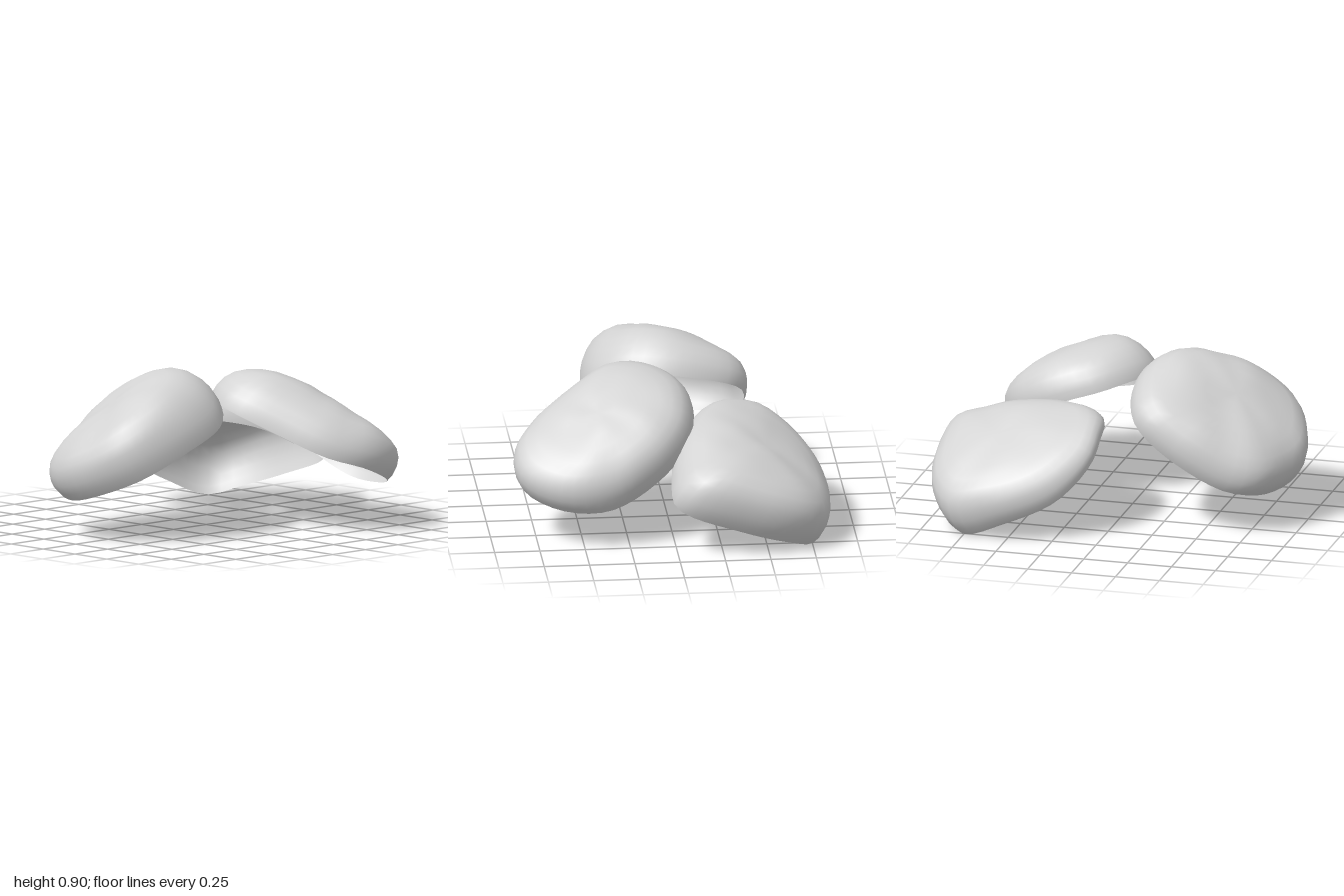
import * as THREE from 'three';

// Dome profile from the open rim to the crown: [radial scale, height fraction]
const PROFILE = [
  [1, 0], [1.02, 0.15], [1.015, 0.31], [0.985, 0.48], [0.925, 0.64], [0.83, 0.77],
  [0.7, 0.87], [0.54, 0.94], [0.36, 0.98], [0.18, 1],
];
const SEGMENTS = 44;

// Rim points run counter-clockwise seen from above; normal is the way the crown faces,
// thin [x, z] points toward the side where the dome is shallower
const SHELLS = [
  {
    name: 'frontShell', normal: [-0.2, 0.83, 0.52], depth: 0.32, thin: [-0.5, 0], phase: 0.4,
    rim: [
      [0, 0.24, 0.92], [0.3, 0.36, 0.8], [0.41, 0.5, 0.55], [0.36, 0.61, 0.24], [0.2, 0.7, 0.09], [-0.06, 0.71, 0.03],
      [-0.42, 0.6, 0.13], [-0.47, 0.46, 0.3], [-0.43, 0.27, 0.62], [-0.36, 0.23, 0.77], [-0.2, 0.21, 0.86],
    ],
  },
  {
    name: 'leftShell', normal: [0.21, 0.85, -0.48], depth: 0.3, thin: [0, 0], phase: 2.1,
    rim: [
      [0.26, 0.67, 0.08], [0.54, 0.54, -0.05], [0.74, 0.43, -0.2], [0.84, 0.36, -0.4], [0.81, 0.28, -0.59],
      [0.6, 0.22, -0.74], [0.34, 0.23, -0.76], [0.02, 0.41, -0.65], [-0.12, 0.56, -0.45], [-0.1, 0.66, -0.16],
      [0.07, 0.7, 0.02],
    ],
  },
  {
    name: 'rightShell', normal: [-0.41, 0.83, -0.39], depth: 0.28, thin: [0.1, 0.8], phase: 4.3,
    rim: [
      [-0.48, 0.52, -0.05], [-0.25, 0.55, -0.1], [-0.05, 0.49, -0.42], [0.02, 0.36, -0.7], [0, 0.27, -0.9],
      [-0.35, 0.14, -0.94], [-0.62, 0.05, -0.88], [-0.76, 0, -0.75], [-0.81, 0.09, -0.52], [-0.76, 0.23, -0.23],
      [-0.62, 0.41, -0.07],
    ],
  },
];

// Gentle dents and bumps for a weathered surface
const lump = (p, phase) =>
  0.009 * Math.sin(9 * p.x + 5 * p.z + phase) * Math.cos(10 * p.z - 4 * p.y + phase) +
  0.005 * Math.sin(21 * p.x - 9 * p.y + phase) * Math.sin(19 * p.z + 2 * phase);

function shellGeometry({ rim, normal, depth, thin, phase }) {
  const n = new THREE.Vector3(...normal).normalize();
  const curve = new THREE.CatmullRomCurve3(rim.map((p) => new THREE.Vector3(...p)), true);
  const edges = curve.getSpacedPoints(SEGMENTS).slice(0, SEGMENTS);
  const center = edges.reduce((sum, p) => sum.add(p), new THREE.Vector3()).divideScalar(SEGMENTS);
  const positions = [];
  const index = [];

  // The waves of the rim fade out toward the smooth crown
  const addVertex = (edge, scale, height) => {
    const offset = edge.clone().sub(center);
    const wave = offset.dot(n);
    offset.addScaledVector(n, -wave).multiplyScalar(scale);
    const rise = height * depth * (1 - thin[0] * offset.x - thin[1] * offset.z);
    const p = center.clone().add(offset).addScaledVector(n, wave * scale ** 3 + rise);
    p.addScaledVector(n, lump(p, phase) * height);
    positions.push(p.x, p.y, p.z);
  };

  for (const [scale, height] of PROFILE) {
    for (const edge of edges) addVertex(edge, scale, height);
  }
  addVertex(center, 0, 1);

  const pole = PROFILE.length * SEGMENTS;
  for (let j = 0; j < PROFILE.length; j++) {
    for (let i = 0; i < SEGMENTS; i++) {
      const a = j * SEGMENTS + i;
      const b = j * SEGMENTS + ((i + 1) % SEGMENTS);
      if (j === PROFILE.length - 1) index.push(a, b, pole);
      else index.push(a, b, b + SEGMENTS, a, b + SEGMENTS, a + SEGMENTS);
    }
  }

  const geometry = new THREE.BufferGeometry();
  geometry.setAttribute('position', new THREE.Float32BufferAttribute(positions, 3));
  geometry.setIndex(index);
  geometry.computeVertexNormals();
  return geometry;
}

export function createModel() {
  const group = new THREE.Group();
  group.name = 'threeOpenShells';
  const grey = new THREE.MeshStandardMaterial({ color: 0xd4d4d4, side: THREE.DoubleSide });
  grey.name = 'pale grey';

  // Three hollow domes leaning outward from the middle
  for (const shell of SHELLS) {
    const mesh = new THREE.Mesh(shellGeometry(shell), grey);
    mesh.name = shell.name;
    group.add(mesh);
  }
  return group;
}
